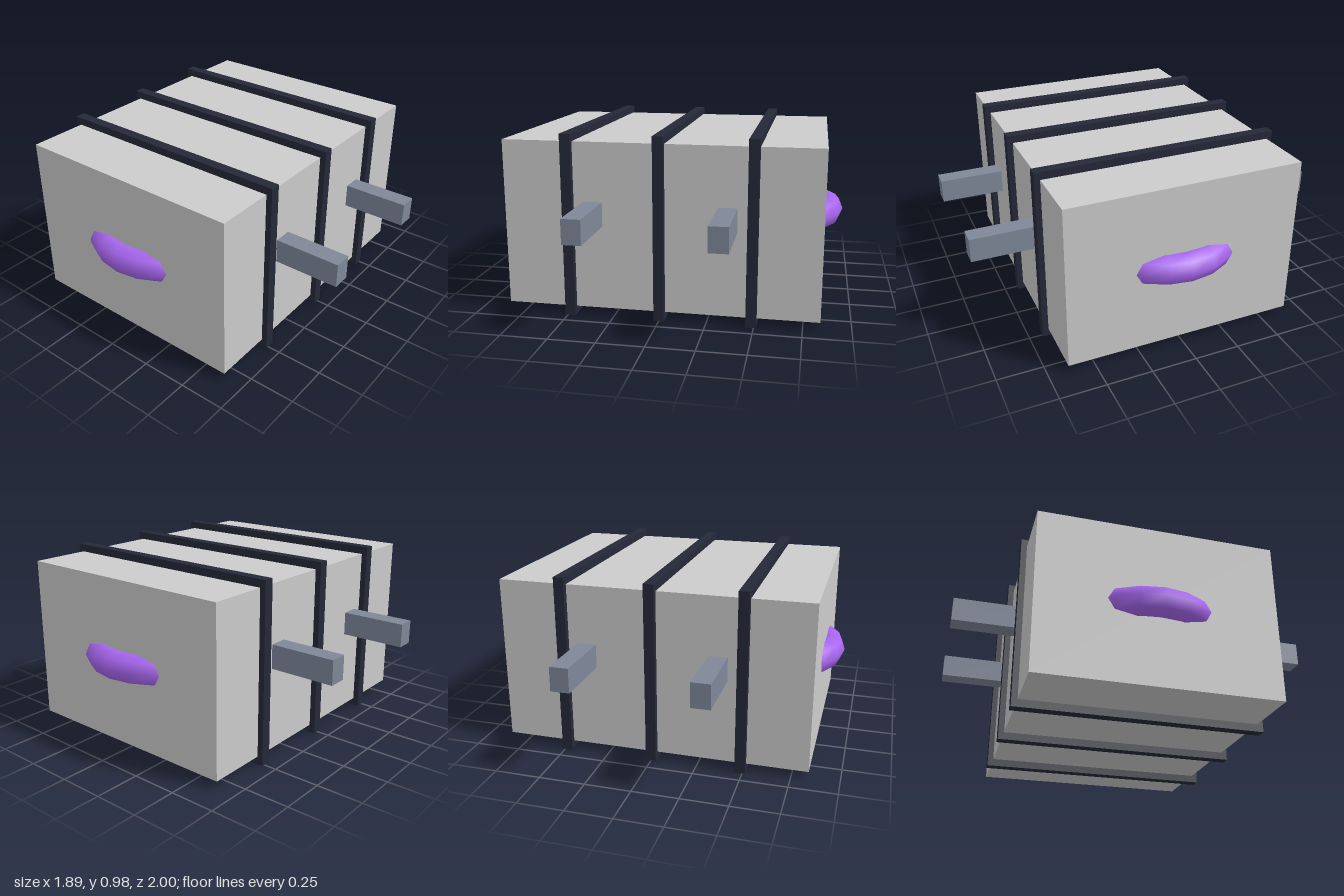
import * as THREE from 'three';

const paint = (color) => new THREE.MeshStandardMaterial({ color });

export function createModel() {
  const model = new THREE.Group();
  const grey = paint(0xcccccc);
  const slate = paint(0x7f8899);
  const dark = paint(0x252938);
  const purple = paint(0xa866f0);
  const midY = 0.492;

  const add = (name, geometry, material, x, y, z) => {
    const mesh = new THREE.Mesh(geometry, material);
    mesh.name = name;
    mesh.position.set(x, y, z);
    model.add(mesh);
    return mesh;
  };

  // Crate body
  add('body', new THREE.BoxGeometry(1.68, 0.9, 1.29), grey, 0, midY, 0);

  // Three straps wrapped around the body
  const strap = new THREE.BoxGeometry(0.056, 0.984, 1.354);
  for (const x of [-0.486, 0, 0.486]) add('strap', strap, dark, x, midY, 0);

  // Short square bars sticking out of the front and back
  const bar = new THREE.BoxGeometry(0.1, 0.13, 0.4);
  for (const x of [-0.355, 0.355]) {
    for (const side of [1, -1]) {
      add(side > 0 ? 'frontBar' : 'backBar', bar, slate, x, 0.56, side * 0.8);
    }
  }

  // Curved handles: half rings lying flat, bulging out of each end
  const handle = new THREE.TorusGeometry(0.345, 0.08, 8, 10, Math.PI);
  handle.rotateZ(-Math.PI / 2).rotateX(Math.PI / 2);
  add('leftHandle', handle, purple, 0.52, midY, 0);
  add('rightHandle', handle, purple, -0.52, midY, 0).rotation.y = Math.PI;

  return model;
}
